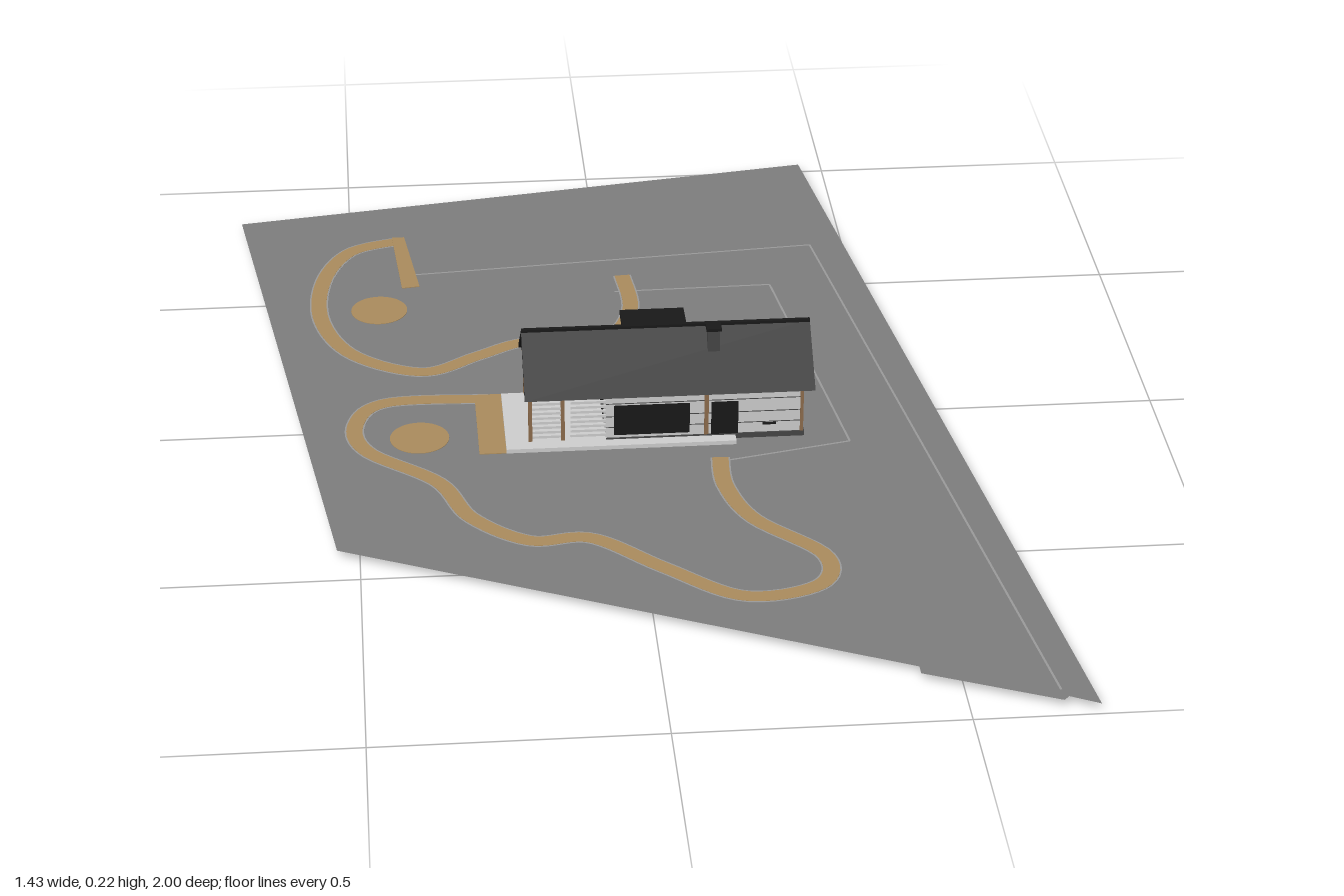
import * as THREE from 'three';

const mat = (color) => new THREE.MeshStandardMaterial({ color, side: THREE.DoubleSide });
const WALL = mat(0xcccccc), DARK = mat(0x181818), SEAM = mat(0x444444), WOOD = mat(0x8a6a4a);
const GROUND = mat(0x7c7c7c), PATH = mat(0xa88a5c), CURB = mat(0x999999);
const GY = 0.017; // lawn level

export function createModel() {
  const root = new THREE.Group();
  const add = (name, geo, material, parent = root) => {
    const m = new THREE.Mesh(geo, material);
    m.name = name;
    parent.add(m);
    return m;
  };
  // box given by its two extreme corners
  const box = (name, material, x0, x1, y0, y1, z0, z1, parent = root) => {
    const m = add(name, new THREE.BoxGeometry(x1 - x0, y1 - y0, z1 - z0), material, parent);
    m.position.set((x0 + x1) / 2, (y0 + y1) / 2, (z0 + z1) / 2);
    return m;
  };
  // plan outline (x, z) raised between two heights
  const slab = (pts, y0, y1) => {
    const g = new THREE.ExtrudeGeometry(new THREE.Shape(pts), { depth: y1 - y0, bevelEnabled: false });
    return g.rotateX(Math.PI / 2).translate(0, y1, 0);
  };
  // side outline (z, y) stretched along x
  const alongX = (pts, x0, x1) => {
    const shape = new THREE.Shape(pts.map(([z, y]) => new THREE.Vector2(z, y)));
    const g = new THREE.ExtrudeGeometry(shape, { depth: x1 - x0, bevelEnabled: false });
    return g.rotateY(-Math.PI / 2).translate(x1, 0, 0);
  };
  // strip following a plan line, between two sideways offsets
  const strip = (line, a, b, y0, y1) => {
    const side = (o) => line.map((p, i) => {
      const q = line[Math.max(i - 1, 0)], r = line[Math.min(i + 1, line.length - 1)];
      const t = r.clone().sub(q).normalize();
      return new THREE.Vector2(p.x - t.y * o, p.y + t.x * o);
    });
    return slab([...side(a), ...side(b).reverse()], y0, y1);
  };
  const vecs = (pts) => pts.map(([x, z]) => new THREE.Vector2(x, z));

  // lawn
  const lawn = new THREE.ShapeGeometry(new THREE.Shape(vecs([
    [-0.72, -0.82], [0.45, -1], [0.715, 0.995], [0.665, 0.97], [0.655, 0.98], [0.43, 0.885], [0.43, 0.865], [-0.54, 0.43]])));
  add('lawn', lawn.rotateX(Math.PI / 2).translate(0, GY, 0), GROUND);

  // winding garden paths with sunken curbs
  const garden = new THREE.Group();
  garden.name = 'gardenPaths';
  root.add(garden);
  const paths = [
    [[-0.4, -0.72], [-0.5, -0.68], [-0.555, -0.56], [-0.56, -0.4], [-0.5, -0.26], [-0.37, -0.185], [-0.26, -0.24],
      [-0.17, -0.285], [-0.01, -0.3], [0.045, -0.4], [0.04, -0.54]],
    [[-0.25, -0.075], [-0.44, -0.075], [-0.5, 0], [-0.48, 0.1], [-0.355, 0.215], [-0.3, 0.34], [-0.2, 0.425], [-0.09, 0.425],
      [0.03, 0.53], [0.16, 0.63], [0.295, 0.605], [0.315, 0.51], [0.205, 0.385], [0.165, 0.27], [0.165, 0.17]],
  ];
  for (const pts of paths) {
    const line = new THREE.SplineCurve(vecs(pts)).getPoints(pts.length * 7);
    add('path', strip(line, -0.015, 0.015, 0.012, GY + 0.001), PATH, garden);
    for (const s of [-1, 1]) add('pathCurb', strip(line, s * 0.015, s * 0.018, 0, GY + 0.0005), CURB, garden);
  }
  const patches = [
    [[-0.415, -0.735], [-0.39, -0.735], [-0.365, -0.525], [-0.4, -0.52]],
    [[-0.275, -0.09], [-0.225, -0.09], [-0.225, 0.125], [-0.275, 0.125]],
  ];
  for (const p of patches) add('pavedPatch', slab(vecs(p), 0.004, GY + 0.0015), PATH, garden);
  for (const [x, z] of [[-0.447, -0.434], [-0.383, 0.058]]) {
    add('roundBed', new THREE.CylinderGeometry(0.055, 0.055, 0.014, 40), PATH, garden).position.set(x, GY - 0.006, z);
    const ring = new THREE.TorusGeometry(0.056, 0.002, 4, 40).rotateX(Math.PI / 2);
    add('bedCurb', ring, CURB, garden).position.set(x, 0.008, z);
  }

  // sunken curbs of the driveway
  const curbs = [
    [[-0.38, -0.575], [0.43, -0.64]], [[0.43, -0.64], [0.655, 0.95]],
    [[0.02, -0.475], [0.33, -0.48]], [[0.33, -0.48], [0.41, 0.13]], [[0.41, 0.13], [0.18, 0.18]],
  ];
  for (const c of curbs) add('drivewayCurb', strip(vecs(c), -0.002, 0.002, 0.004, GY + 0.0003), CURB);

  // house
  const house = new THREE.Group();
  house.name = 'house';
  root.add(house);
  const X0 = -0.04, X1 = 0.325, ZB = -0.077, ZF = 0.1, ZR = 0.012;
  box('terrace', WALL, -0.225, 0.2, GY, 0.025, -0.08, 0.125, house);
  box('plinth', SEAM, X0, X1 + 0.003, GY, 0.027, ZB - 0.003, ZF + 0.003, house);
  add('walls', alongX([[ZB, 0.02], [ZF, 0.02], [ZF, 0.128], [ZR, 0.2], [ZB, 0.128]], X0, X1), WALL, house);

  // dark siding joints running round the walls
  for (const y of [0.048, 0.071, 0.098, 0.112]) {
    box('sidingJoint', SEAM, X0, X1 + 0.0006, y, y + 0.0015, ZB - 0.0006, ZF + 0.0006, house);
  }
  for (const y of [0.14, 0.16]) {
    const half = (0.2 - y) * 1.2;
    box('gableJoint', SEAM, X0 - 0.0006, X1 + 0.0006, y, y + 0.0015, ZR - half, ZR + half, house);
  }

  // roof with two pitches
  const slope = [[-0.096, 0.122], [ZR, 0.212], [0.12, 0.122]];
  const under = [[0.113, 0.118], [ZR, 0.2], [-0.089, 0.118]];
  add('roof', alongX([...slope, ...under], -0.19, 0.345), DARK, house);
  box('ridgeCap', DARK, -0.19, 0.345, 0.208, 0.214, ZR - 0.004, ZR + 0.004, house);

  // rear dormer
  box('dormer', DARK, 0.008, 0.112, 0.13, 0.184, -0.078, 0, house);
  box('dormerRoof', DARK, 0, 0.12, 0.182, 0.19, -0.09, -0.012, house);
  for (const x of [0.035, 0.085]) box('dormerWindow', SEAM, x - 0.018, x + 0.018, 0.148, 0.176, -0.0795, -0.077, house);

  // chimney
  box('chimney', SEAM, 0.152, 0.174, 0.17, 0.219, 0.037, 0.055, house);
  box('chimneyCap', DARK, 0.149, 0.177, 0.219, 0.225, 0.034, 0.058, house);

  // openings: front, gables, back
  box('frontWindow', DARK, -0.025, 0.115, 0.033, 0.095, ZF - 0.005, ZF + 0.002, house);
  box('frontDoor', DARK, 0.155, 0.205, 0.025, 0.095, ZF - 0.005, ZF + 0.002, house);
  box('frontVent', DARK, 0.25, 0.275, 0.043, 0.047, ZF, ZF + 0.002, house);
  for (const [y0, y1] of [[0.035, 0.093], [0.12, 0.182]]) {
    box('gableWindow', DARK, X1 - 0.005, X1 + 0.002, y0, y1, 0.013, 0.04, house);
    box('terraceDoor', DARK, X0 - 0.002, X0 + 0.005, y0, y1, -0.02, 0.045, house);
  }
  for (const [a, b] of [[0.26, 0.285], [0.195, 0.22], [0.0, 0.075]]) {
    box('backWindow', DARK, a, b, 0.035, 0.095, ZB - 0.002, ZB + 0.005, house);
  }

  // timber trims and covered terrace
  for (const z of [ZB, ZF]) {
    box('cornerTrim', WOOD, X1 - 0.005, X1 + 0.001, 0.025, 0.125, z - 0.002, z + 0.002, house);
    box('eaveBeam', WOOD, -0.185, X0, 0.118, 0.126, z - 0.006, z, house);
    for (const x of [-0.183, -0.123]) box('terracePost', WOOD, x, x + 0.007, 0.025, 0.122, z - 0.007, z, house);
  }
  box('doorTrim', WOOD, 0.142, 0.15, 0.025, 0.12, ZF - 0.002, ZF + 0.002, house);
  for (const [a, b] of [[-0.18, -0.123], [-0.105, X0]]) {
    for (let i = 0; i < 9; i++) {
      const y = 0.03 + i * 0.01;
      box('screenSlat', WALL, a, b, y, y + 0.005, ZF - 0.006, ZF - 0.002, house);
    }
  }
  return root;
}
